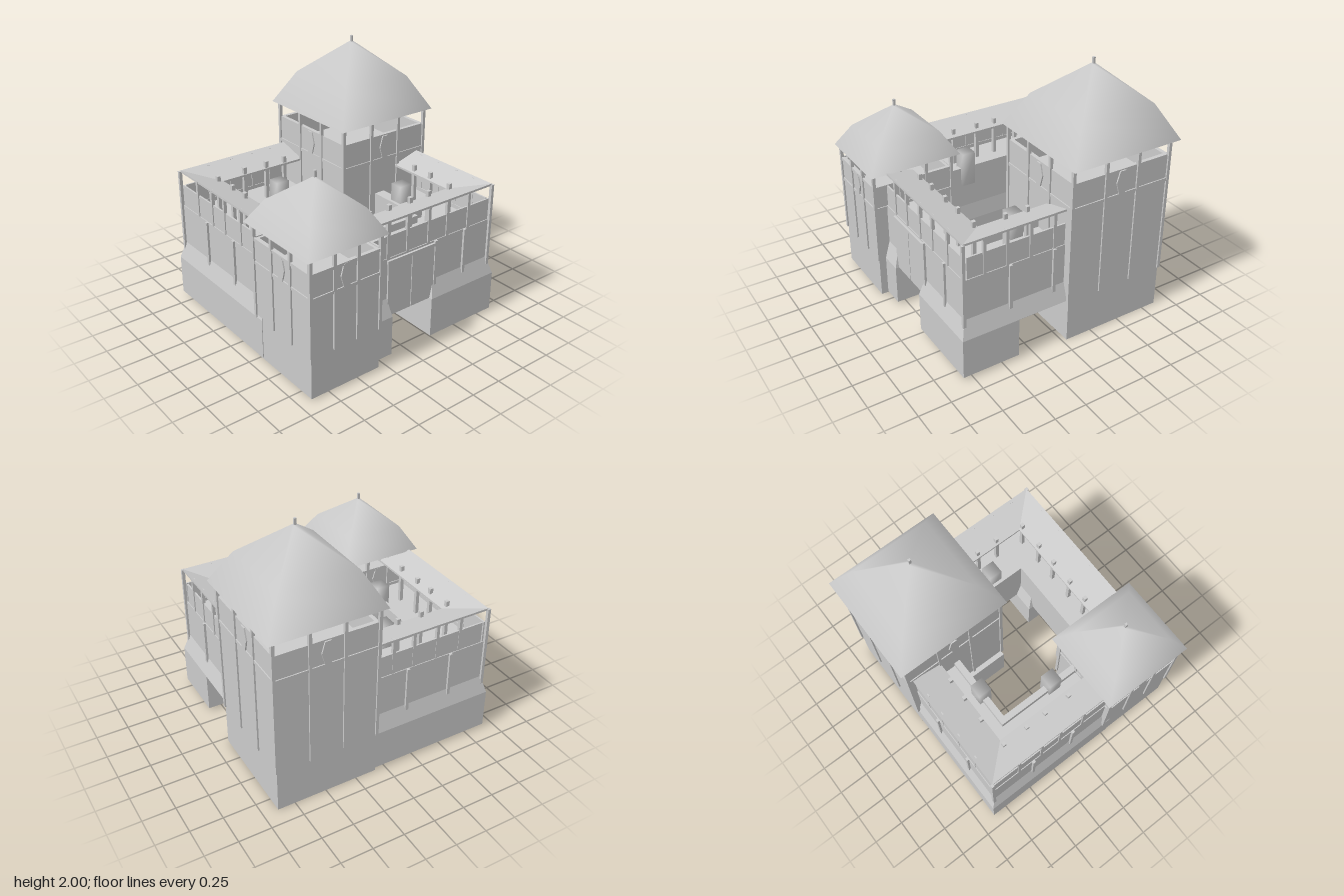
import * as THREE from 'three';
import { mergeVertices } from 'three/addons/utils/BufferGeometryUtils.js';

const mat = new THREE.MeshStandardMaterial({ color: 0xcccccc });
const shellMat = new THREE.MeshStandardMaterial({ color: 0xcccccc, side: THREE.DoubleSide });
const mix = THREE.MathUtils.lerp;

function add(parent, name, geo, material = mat) {
  const m = new THREE.Mesh(geo, material);
  m.name = name;
  parent.add(m);
  return m;
}

// Axis-aligned box given by its limits
function box(parent, name, x0, x1, y0, y1, z0, z1) {
  const m = add(parent, name, new THREE.BoxGeometry(x1 - x0, y1 - y0, z1 - z0));
  m.position.set((x0 + x1) / 2, (y0 + y1) / 2, (z0 + z1) / 2);
  return m;
}

// Box whose corners are moved by rule(u, v, w), each running from 0 to 1
function warp(rule) {
  const g = new THREE.BoxGeometry(1, 1, 1);
  const p = g.attributes.position;
  for (let i = 0; i < p.count; i++) p.setXYZ(i, ...rule(p.getX(i) + 0.5, p.getY(i) + 0.5, p.getZ(i) + 0.5));
  g.computeVertexNormals();
  return g;
}

// Hollow block open below, and above too unless capped; lo and hi are [x0, x1, z0, z1]
function shell(parent, name, lo, hi, y0, y1, capped) {
  const g = warp((u, v, w) => [
    mix(mix(lo[0], lo[1], u), mix(hi[0], hi[1], u), v),
    mix(y0, y1, v),
    mix(mix(lo[2], lo[3], w), mix(hi[2], hi[3], w), v)]);
  const faces = Array.from(g.index.array);
  faces.splice(capped ? 18 : 12, capped ? 6 : 12);
  g.setIndex(faces);
  g.clearGroups();
  add(parent, name, g, shellMat);
}

// Plinth with a battered top
function plinth(parent, lo, hi) {
  shell(parent, 'plinth', lo, lo, 0.025, 0.34, false);
  shell(parent, 'batteredBase', lo, hi, 0.34, 0.48, false);
}

// Slab sloping down from an outer edge a-b to an inner edge c-d, points as [x, z]
function roofStrip(parent, a, b, c, d) {
  add(parent, 'galleryRoof', warp((u, v, w) => [
    mix(mix(c[0], d[0], u), mix(a[0], b[0], u), w),
    mix(1.01, 1.075, w) + 0.016 * v,
    mix(mix(c[1], d[1], u), mix(a[1], b[1], u), w)]));
}

function post(parent, name, x, z, y0, y1, s = 0.024) {
  box(parent, name, x - s / 2, x + s / 2, y0, y1, z - s / 2, z + s / 2);
}

// Square tower with parapet, timber frame, window panels and a curved roof
function tower(name, o) {
  const g = new THREE.Group();
  g.name = name;
  const [x0, x1, z0, z1] = o.rect, t = 0.03;
  const cx = (x0 + x1) / 2, cz = (z0 + z1) / 2;
  shell(g, 'towerBody', o.rect, o.rect, o.bottom, o.floor, true);
  for (const [a, b] of [[x0, x0 + t], [x1 - t, x1]]) box(g, 'parapet', a, b, o.floor, o.top, z0, z1);
  for (const [a, b] of [[z0, z0 + t], [z1 - t, z1]]) box(g, 'parapet', x0 + t, x1 - t, o.floor, o.top, a, b);

  // Posts on every side
  for (let i = 0; i < 4; i++) {
    for (let j = 0; j < 4; j++) {
      if (i % 3 && j % 3) continue;
      post(g, 'towerPost', mix(x0, x1, i / 3), mix(z0, z1, j / 3), 0.34, o.eave + 0.02);
    }
  }
  // Horizontal beams
  const e = 0.008;
  for (const y of o.beams) {
    for (const z of [z0, z1]) box(g, 'beam', x0 - e, x1 + e, y - 0.012, y + 0.012, z - e, z + e);
    for (const x of [x0, x1]) box(g, 'beam', x - e, x + e, y - 0.012, y + 0.012, z0 - e, z1 + e);
  }
  // Window panels
  const w = new THREE.Shape([[-0.024, -0.09], [0.024, -0.09], [0.05, 0], [0.024, 0.09], [-0.024, 0.09], [-0.05, 0]]
    .map(([x, y]) => new THREE.Vector2(x, y)));
  const panel = new THREE.ExtrudeGeometry(w, { depth: 0.02, bevelEnabled: false });
  panel.translate(0, 0, -0.01);
  for (let i = 0; i < 4; i++) {
    const a = i * Math.PI / 2;
    const m = add(g, 'windowPanel', panel);
    m.position.set(cx + Math.sin(a) * (x1 - x0) / 2, o.windowY, cz + Math.cos(a) * (z1 - z0) / 2);
    m.rotation.y = a;
  }
  // Four-sided curved roof and its spire
  const pts = o.profile.map(([r, y]) => new THREE.Vector2(r * Math.SQRT2, y));
  const roof = new THREE.LatheGeometry(pts, 4);
  roof.rotateY(Math.PI / 4);
  roof.scale(o.half[0], 1, o.half[1]);
  add(g, 'towerRoof', roof, shellMat).position.set(o.apex[0], 0, o.apex[1]);
  const peak = o.profile[o.profile.length - 1][1];
  post(g, 'spire', ...o.apex, peak - 0.02, peak + 0.045, 0.018);
  return g;
}

export function createModel() {
  const model = new THREE.Group();
  model.name = 'castle';

  model.add(tower('largeTower', {
    rect: [0.085, 0.885, -0.87, -0.035], bottom: 0, floor: 1.1, top: 1.31, eave: 1.43,
    beams: [1.11], windowY: 1.21, apex: [0.492, -0.46], half: [0.447, 0.46],
    profile: [[1, 1.43], [0.68, 1.69], [0.03, 1.95], [0, 1.953]],
  }));
  model.add(tower('smallTower', {
    rect: [-0.905, -0.32, 0.23, 0.88], bottom: 0.015, floor: 0.77, top: 0.97, eave: 1.08,
    beams: [0.785, 0.965], windowY: 0.88, apex: [-0.61, 0.542], half: [0.333, 0.372],
    profile: [[1, 1.08], [0.69, 1.26], [0.03, 1.452], [0, 1.455]],
  }));

  // Plinths under the wings, leaving the front and side gateways open
  const walls = new THREE.Group();
  walls.name = 'walls';
  model.add(walls);
  plinth(walls, [-0.34, -0.15, 0.37, 0.825], [-0.34, -0.175, 0.41, 0.785]);
  plinth(walls, [0.23, 0.865, 0.37, 0.825], [0.26, 0.82, 0.41, 0.785]);
  plinth(walls, [-0.91, -0.455, -0.87, 0.3], [-0.87, -0.47, -0.83, 0.3]);
  plinth(walls, [-0.456, 0.1, -0.87, -0.41], [-0.471, 0.1, -0.83, -0.43]);
  shell(walls, 'batteredBase', [0.4, 0.865, -0.04, 0.4], [0.4, 0.82, -0.04, 0.4], 0.34, 0.48, false);
  shell(walls, 'towerFoot', [0.045, 0.1, -0.45, -0.04], [0.045, 0.1, -0.45, -0.04], 0, 0.34, true);

  // Upper wings: hollow storey, outer gallery wall and inner rim
  const floor = 0.77;
  for (const [name, r] of [
    ['frontWing', [-0.34, 0.82, 0.41, 0.785]], ['leftWing', [-0.87, -0.47, -0.83, 0.3]],
    ['backWing', [-0.471, 0.1, -0.83, -0.43]], ['rightWing', [0.4, 0.82, -0.04, 0.411]]])
    shell(walls, name, r, r, 0.34, floor, true);
  for (const [x0, x1, z0, z1] of [
    [-0.32, 0.82, 0.76, 0.785], [0.795, 0.82, -0.04, 0.761],
    [-0.87, -0.845, -0.83, 0.24], [-0.846, 0.09, -0.83, -0.805]]) {
    box(walls, 'outerWall', x0, x1, floor, 0.8, z0, z1);
    box(walls, 'galleryPanel', x0 + 0.006, x1 - 0.006, 0.8, 0.97, z0 + 0.006, z1 - 0.006);
  }
  for (const [x0, x1, z0, z1] of [
    [-0.32, 0.401, 0.41, 0.46], [0.4, 0.49, -0.04, 0.41],
    [-0.52, -0.47, -0.48, 0.24], [-0.471, 0.09, -0.48, -0.43]])
    box(walls, 'innerRim', x0, x1, floor, 0.83, z0, z1);

  // Gate leaves above the front opening
  box(walls, 'gateLeaf', -0.175, 0.042, 0.34, 0.76, 0.78, 0.797);
  box(walls, 'gateLeaf', 0.048, 0.26, 0.34, 0.76, 0.78, 0.797);
  box(walls, 'gateLintel', -0.18, 0.265, 0.76, 0.785, 0.78, 0.802);

  // Gallery roof sloping towards the court
  const gallery = new THREE.Group();
  gallery.name = 'gallery';
  model.add(gallery);
  roofStrip(gallery, [-0.34, 0.788], [0.825, 0.788], [-0.34, 0.545], [0.6, 0.545]);
  roofStrip(gallery, [0.825, 0.788], [0.825, -0.04], [0.6, 0.545], [0.6, -0.04]);
  roofStrip(gallery, [0.09, -0.835], [-0.87, -0.835], [0.09, -0.59], [-0.64, -0.59]);
  roofStrip(gallery, [-0.87, -0.835], [-0.87, 0.24], [-0.64, -0.59], [-0.64, 0.24]);

  // Gallery posts: inner ones poke through the roof
  const outer = 1.085, inner = 1.08;
  for (const x of [-0.17, 0.01, 0.21, 0.39, 0.6]) {
    post(gallery, 'galleryPost', x, 0.575, floor, inner, 0.028);
    post(gallery, 'galleryPost', x, 0.775, 0.8, outer);
  }
  for (const z of [0.16, 0.34]) post(gallery, 'galleryPost', 0.63, z, floor, inner, 0.028);
  for (const z of [0.055, 0.25, 0.44, 0.62]) post(gallery, 'galleryPost', 0.81, z, 0.8, outer);
  for (const x of [-0.44, -0.24, -0.07]) post(gallery, 'galleryPost', x, -0.61, floor, inner, 0.028);
  for (const x of [-0.64, -0.44, -0.24, -0.07]) post(gallery, 'galleryPost', x, -0.815, 0.8, outer);
  for (const z of [-0.59, -0.385, -0.215, 0]) {
    post(gallery, 'galleryPost', -0.685, z, floor, inner, 0.028);
    post(gallery, 'galleryPost', -0.86, z, 0.8, outer);
  }

  // Long wall posts
  for (const x of [0.275, 0.565]) post(gallery, 'wallPost', x, 0.79, 0.44, 0.8);
  for (const z of [0.42, 0.06]) post(gallery, 'wallPost', 0.825, z, 0.44, 0.8);
  for (const z of [-0.46, -0.09]) post(gallery, 'wallPost', -0.875, z, 0.44, 0.8);
  for (const x of [-0.56, -0.19]) post(gallery, 'wallPost', x, -0.835, 0.44, 0.8);
  post(gallery, 'cornerPost', 0.825, 0.79, 0.34, outer);
  post(gallery, 'cornerPost', -0.875, -0.835, 0.34, outer);

  // Softly shaded turret boxes straddling the inner rim
  let turret = new THREE.BoxGeometry(0.11, 0.28, 0.106);
  turret.deleteAttribute('normal');
  turret.deleteAttribute('uv');
  turret = mergeVertices(turret);
  turret.computeVertexNormals();
  for (const [x, z] of [[-0.225, -0.455], [-0.485, 0.005], [0.48, 0.18]])
    add(gallery, 'turretBox', turret).position.set(x, 0.83, z);

  return model;
}
